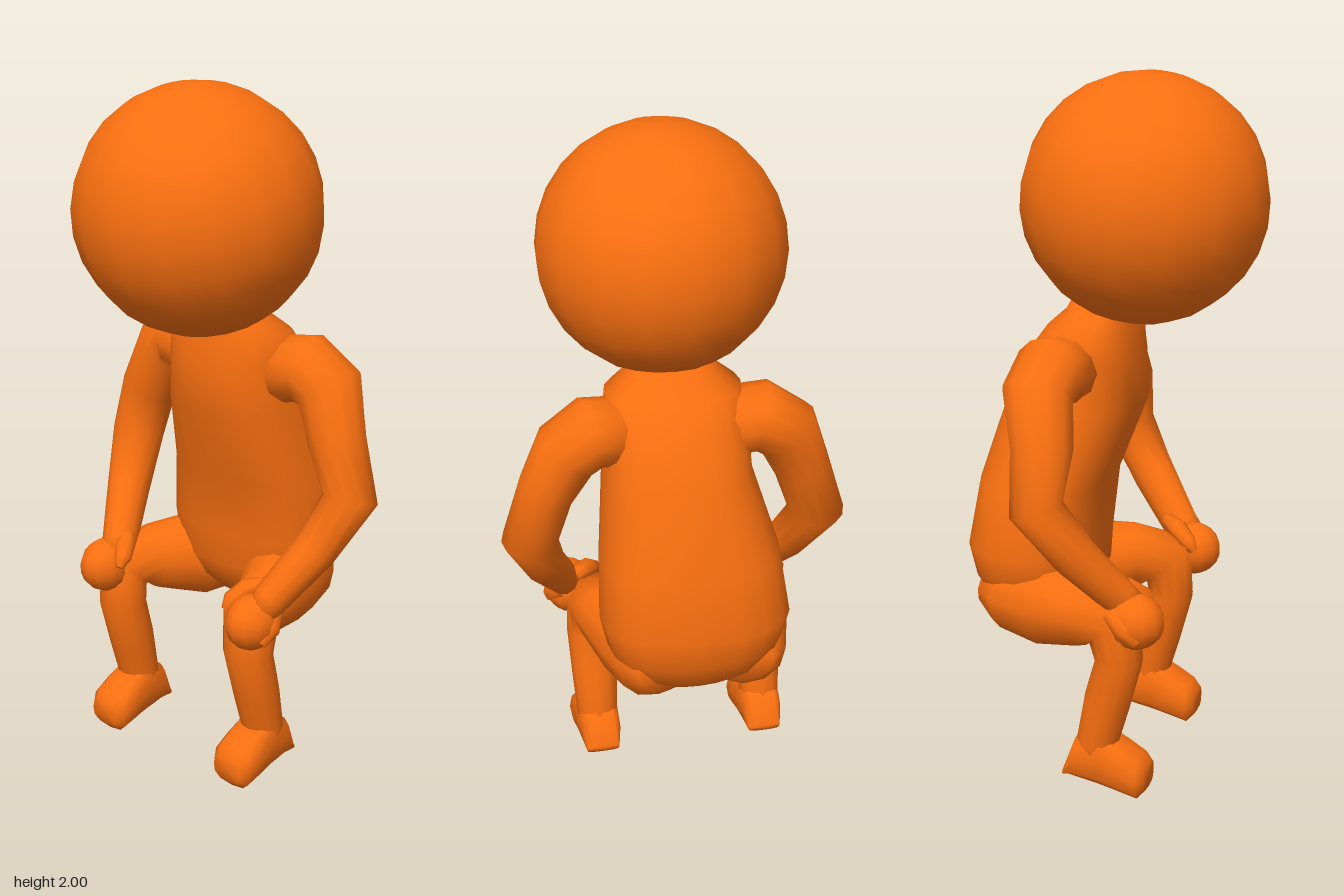
import * as THREE from 'three';

const material = new THREE.MeshStandardMaterial({ color: 0xf96f10 });
const X = new THREE.Vector3(1, 0, 0), Y = new THREE.Vector3(0, 1, 0), Z = new THREE.Vector3(0, 0, 1);

// Closed skin over oval rings [x, y, z, ru, rv]; rv lies along ref, power < 1 squares the oval.
function loft(rings, ref, { sides = 12, power = 1, axis = null } = {}) {
  const centres = rings.map(r => new THREE.Vector3(r[0], r[1], r[2]));
  const pos = [], index = [], last = rings.length - 1;
  const bend = a => Math.sign(a) * Math.abs(a) ** power;
  rings.forEach(([, , , ru, rv], i) => {
    const t = new THREE.Vector3();
    if (axis) t.copy(axis);
    else {
      if (i > 0) t.add(centres[i].clone().sub(centres[i - 1]).normalize());
      if (i < last) t.add(centres[i + 1].clone().sub(centres[i]).normalize());
      t.normalize();
    }
    const u = ref.clone().cross(t).normalize(), v = t.clone().cross(u);
    for (let j = 0; j < sides; j++) {
      const a = (j / sides) * Math.PI * 2;
      const p = centres[i].clone().addScaledVector(u, ru * bend(Math.cos(a))).addScaledVector(v, rv * bend(Math.sin(a)));
      pos.push(p.x, p.y, p.z);
    }
  });
  const start = pos.length / 3, end = start + 1;
  pos.push(...centres[0].toArray(), ...centres[last].toArray());
  for (let j = 0; j < sides; j++) {
    const k = (j + 1) % sides;
    for (let i = 0; i < last; i++) {
      const a = i * sides + j, b = i * sides + k;
      index.push(a, b, a + sides, b, b + sides, a + sides);
    }
    index.push(start, k, j, end, last * sides + j, last * sides + k);
  }
  const g = new THREE.BufferGeometry();
  g.setAttribute('position', new THREE.Float32BufferAttribute(pos, 3));
  g.setIndex(index);
  g.computeVertexNormals();
  return g;
}

function add(parent, name, geometry) {
  const mesh = new THREE.Mesh(geometry, material);
  mesh.name = name;
  parent.add(mesh);
  return mesh;
}

// Torso from [y, back z, front z, half width, centre x]
function torsoGeometry() {
  const rows = [
    [0.45, -0.31, -0.12, 0.13, -0.03],
    [0.5, -0.365, -0.07, 0.2, -0.03],
    [0.57, -0.395, -0.04, 0.25, -0.03],
    [0.67, -0.415, -0.035, 0.272, -0.03],
    [0.85, -0.385, -0.015, 0.255, -0.02],
    [1.08, -0.315, 0.075, 0.207, 0],
    [1.22, -0.25, 0.065, 0.2, 0],
    [1.3, -0.19, 0.055, 0.19, 0],
    [1.345, -0.14, 0.04, 0.13, 0],
    [1.43, -0.1, 0.04, 0.08, 0],
  ];
  const rings = rows.map(([y, back, front, w, x]) => [x, y, (back + front) / 2, (front - back) / 2, w]);
  return loft(rings, X, { sides: 20, power: 0.82, axis: Y });
}

function arm(s) {
  const group = new THREE.Group();
  group.name = s > 0 ? 'leftArm' : 'rightArm';
  add(group, 'sleeve', loft([
    [s * 0.13, 1.19, -0.1, 0.1, 0.1],
    [s * 0.24, 1.21, -0.12, 0.1, 0.105],
    [s * 0.31, 1.165, -0.13, 0.095, 0.1],
    [s * 0.365, 1.03, -0.1, 0.08, 0.088],
    [s * 0.415, 0.875, -0.1, 0.08, 0.075],
    [s * 0.365, 0.73, -0.005, 0.062, 0.065],
    [s * 0.3, 0.6, 0.1, 0.05, 0.055],
    [s * 0.295, 0.57, 0.13, 0.045, 0.05],
  ], Z));
  // Fist resting on the knee, with thumb and outer finger
  const hx = s > 0 ? 0.275 : -0.31;
  const fist = add(group, 'hand', new THREE.SphereGeometry(1, 12, 9));
  fist.scale.set(0.072, 0.08, 0.085);
  fist.position.set(hx, 0.54, 0.145);
  add(group, 'thumb', loft([
    [hx + 0.01 * -s, 0.625, 0.07, 0.022, 0.022],
    [hx + 0.05 * -s, 0.615, 0.11, 0.03, 0.03],
    [hx + 0.075 * -s, 0.585, 0.15, 0.026, 0.026],
    [hx + 0.08 * -s, 0.56, 0.17, 0.012, 0.012],
  ], X, { sides: 8 }));
  add(group, 'finger', loft([
    [hx + 0.03 * s, 0.57, 0.09, 0.03, 0.03],
    [hx + 0.05 * s, 0.53, 0.13, 0.032, 0.03],
    [hx + 0.045 * s, 0.495, 0.165, 0.02, 0.02],
  ], X, { sides: 8 }));
  return group;
}

function leg(s) {
  const group = new THREE.Group();
  group.name = s > 0 ? 'leftLeg' : 'rightLeg';
  group.position.x = -0.04;
  // Thigh, knee and shin in one skin
  add(group, 'limb', loft([
    [s * 0.11, 0.54, -0.33, 0.07, 0.09],
    [s * 0.125, 0.53, -0.26, 0.12, 0.125],
    [s * 0.165, 0.52, -0.14, 0.128, 0.12],
    [s * 0.23, 0.53, -0.01, 0.1, 0.09],
    [s * 0.255, 0.52, 0.085, 0.095, 0.078],
    [s * 0.255, 0.41, 0.095, 0.067, 0.076],
    [s * 0.255, 0.28, 0.06, 0.067, 0.07],
    [s * 0.255, 0.15, 0.03, 0.06, 0.062],
    [s * 0.255, 0.1, 0.025, 0.05, 0.055],
  ], X));
  // Foot from [z, sole y, top y, half width], toe pointing slightly down
  const rows = [
    [-0.06, 0.05, 0.07, 0.05],
    [-0.025, 0.043, 0.17, 0.06],
    [0.05, 0.03, 0.19, 0.066],
    [0.11, 0.018, 0.155, 0.07],
    [0.16, 0.005, 0.125, 0.068],
    [0.182, 0.03, 0.1, 0.05],
  ];
  add(group, 'foot', loft(
    rows.map(([z, low, high, w]) => [s * 0.253, (low + high) / 2, z, (high - low) / 2, w]),
    X, { power: 0.65, axis: Z }));
  return group;
}

export function createModel() {
  const model = new THREE.Group();
  model.name = 'crouchingFigure';
  const head = add(model, 'head', new THREE.SphereGeometry(0.346, 16, 14));
  head.position.set(0.004, 1.655, 0.073);
  head.rotation.set(0.2, 0.1, 0.05);
  add(model, 'torso', torsoGeometry());
  for (const s of [-1, 1]) model.add(arm(s), leg(s));
  return model;
}
